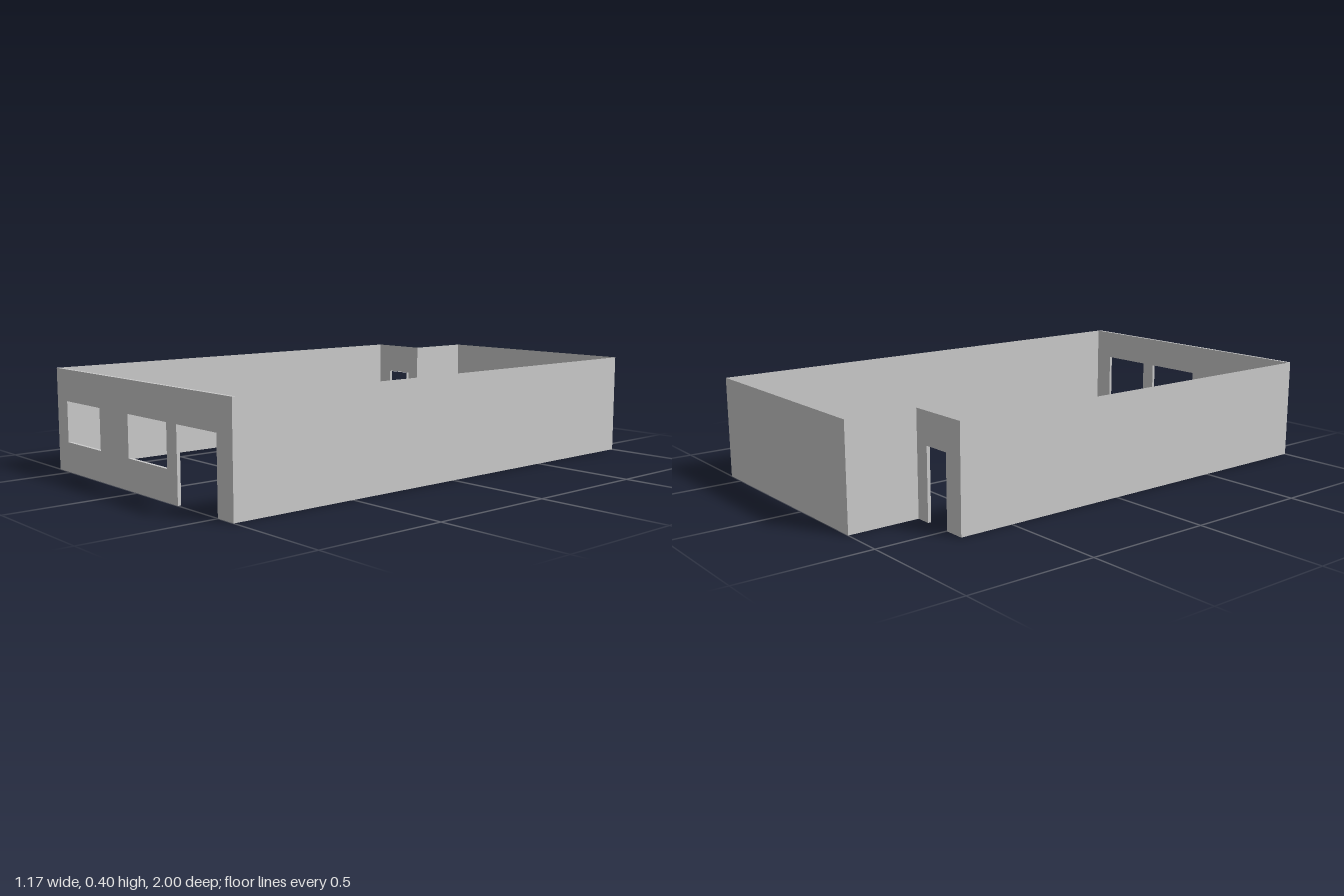
import * as THREE from 'three';

const H = 0.4, X = 0.585, T = 0.013, HEAD = 0.277, SILL = 0.117;
const JOG_X = -0.33, JOG_Z = -0.717;

const material = new THREE.MeshStandardMaterial({ color: 0xcccccc, side: THREE.DoubleSide });

// Wall outline from x0 to x1, with a door cut up from the ground
function wallShape(x0, x1, door) {
  const pts = [[x0, 0]];
  if (door) pts.push([door[0], 0], [door[0], HEAD], [door[1], HEAD], [door[1], 0]);
  pts.push([x1, 0], [x1, H], [x0, H]);
  return new THREE.Shape(pts.map(([x, y]) => new THREE.Vector2(x, y)));
}

function windowHole(x0, x1) {
  return new THREE.Path([[x0, SILL], [x0, HEAD], [x1, HEAD], [x1, SILL]]
    .map(([x, y]) => new THREE.Vector2(x, y)));
}

export function createModel() {
  const group = new THREE.Group();
  const add = (name, geometry, x = 0, y = 0, z = 0) => {
    const mesh = new THREE.Mesh(geometry, material);
    mesh.name = name;
    mesh.position.set(x, y, z);
    group.add(mesh);
    return mesh;
  };

  // Thick front wall with two windows and a door
  const front = wallShape(-X, X, [0.264, 0.498]);
  front.holes.push(windowHole(-0.508, -0.255), windowHole(-0.053, 0.202));
  add('frontWall', new THREE.ExtrudeGeometry(front, { depth: T, bevelEnabled: false }), 0, 0, 1 - T);

  // Thin walls running front to back
  const sideWall = (name, x, z0, z1) => {
    const geometry = new THREE.PlaneGeometry(z1 - z0, H).rotateY(x > 0 ? Math.PI / 2 : -Math.PI / 2);
    add(name, geometry, x, H / 2, (z0 + z1) / 2);
  };
  sideWall('leftWall', X, -1, 1);
  sideWall('rightWall', -X, JOG_Z, 1);
  sideWall('porchSideWall', JOG_X, -1, JOG_Z);

  // Thin back wall, stopping at the recessed porch
  add('backWall', new THREE.ShapeGeometry(wallShape(JOG_X, X)).rotateY(0), 0, 0, -1);

  // Recessed porch wall with its doorway and reveals
  const d0 = -0.503, d1 = -0.389, zMid = JOG_Z + T / 2;
  add('porchWall', new THREE.ShapeGeometry(wallShape(-X, JOG_X, [d0, d1])), 0, 0, JOG_Z);
  add('porchDoorHead', new THREE.PlaneGeometry(d1 - d0, T).rotateX(Math.PI / 2), (d0 + d1) / 2, HEAD, zMid);
  for (const x of [d0, d1]) {
    add('porchDoorJamb', new THREE.PlaneGeometry(T, HEAD).rotateY(Math.PI / 2), x, HEAD / 2, zMid);
  }

  return group;
}
